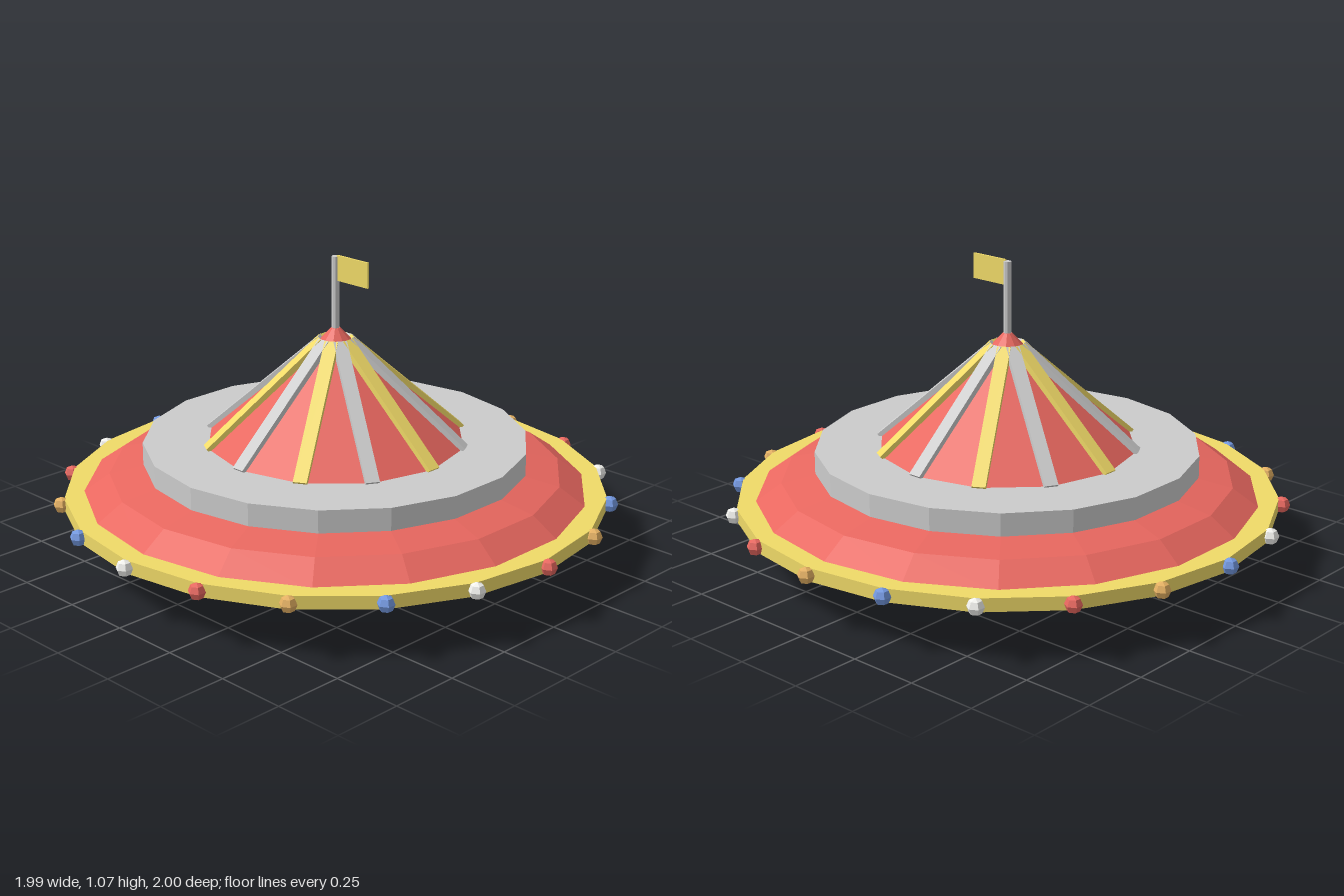
import * as THREE from 'three';

const mat = (color, extra = {}) => new THREE.MeshStandardMaterial({ color, flatShading: true, ...extra });
const RED = mat(0xe8675f), YELLOW = mat(0xf0da68), GREY = mat(0xcccccc), GREEN = mat(0xb4f0c6);
const BLUE = mat(0x7398e0), ORANGE = mat(0xe4b062), WHITE = mat(0xf0f0ec);

export function createModel() {
  const model = new THREE.Group();
  model.name = 'saucerTent';

  const add = (name, geometry, material, x = 0, y = 0, z = 0, parent = model) => {
    const mesh = new THREE.Mesh(geometry, material);
    mesh.name = name;
    mesh.position.set(x, y, z);
    parent.add(mesh);
    return mesh;
  };
  // upright cylinder or frustum given by its bottom and top heights
  const drum = (name, rBottom, rTop, y0, y1, sides, material) =>
    add(name, new THREE.CylinderGeometry(rTop, rBottom, y1 - y0, sides), material, 0, (y0 + y1) / 2, 0);

  // foot
  drum('base', 0.435, 0.435, 0, 0.06, 14, GREEN);

  // lens-shaped body
  const profile = [[0, 0.055], [0.45, 0.055], [0.8, 0.11], [0.9, 0.19], [0.9, 0.22], [0.8, 0.29], [0.64, 0.325], [0, 0.325]]
    .map(([r, y]) => new THREE.Vector2(r, y));
  add('saucerBody', new THREE.LatheGeometry(profile, 18), RED);

  // rim band and upper deck
  drum('rimBand', 0.96, 0.96, 0.18, 0.227, 20, YELLOW);
  drum('deck', 0.68, 0.68, 0.32, 0.4, 18, GREY);

  // bulbs around the rim, colours repeating in fours
  const bulbs = new THREE.Group();
  bulbs.name = 'rimBulbs';
  model.add(bulbs);
  const bulbGeometry = new THREE.SphereGeometry(0.03, 6, 4).rotateY(Math.PI / 2);
  const bulbColors = [WHITE, RED, ORANGE, BLUE];
  for (let i = 0; i < 20; i++) {
    const a = (i / 20) * Math.PI * 2;
    add('bulb', bulbGeometry, bulbColors[i % 4], Math.sin(a) * 0.97, 0.204, Math.cos(a) * 0.97, bulbs);
  }

  // tent roof with a batten on every ridge
  drum('tentRoof', 0.46, 0.04, 0.4, 0.765, 12, RED);
  const battens = new THREE.Group();
  battens.name = 'roofBattens';
  model.add(battens);
  const run = 0.41, rise = 0.365;
  const battenGeometry = new THREE.BoxGeometry(0.048, Math.hypot(run, rise), 0.022);
  for (let i = 0; i < 12; i++) {
    const arm = new THREE.Group();
    arm.name = 'battenArm';
    arm.rotation.y = (i / 12) * Math.PI * 2;
    battens.add(arm);
    const batten = add('batten', battenGeometry, i % 2 ? YELLOW : GREY, 0, 0.581, 0.258, arm);
    batten.rotation.x = -Math.atan2(run, rise);
  }

  // cap, pole and flag
  drum('roofCap', 0.063, 0.016, 0.755, 0.805, 10, RED);
  drum('flagPole', 0.014, 0.014, 0.78, 1.06, 8, GREY);
  add('flag', new THREE.BoxGeometry(0.146, 0.09, 0.008), YELLOW, 0.082, 1.02, 0);

  return model;
}
